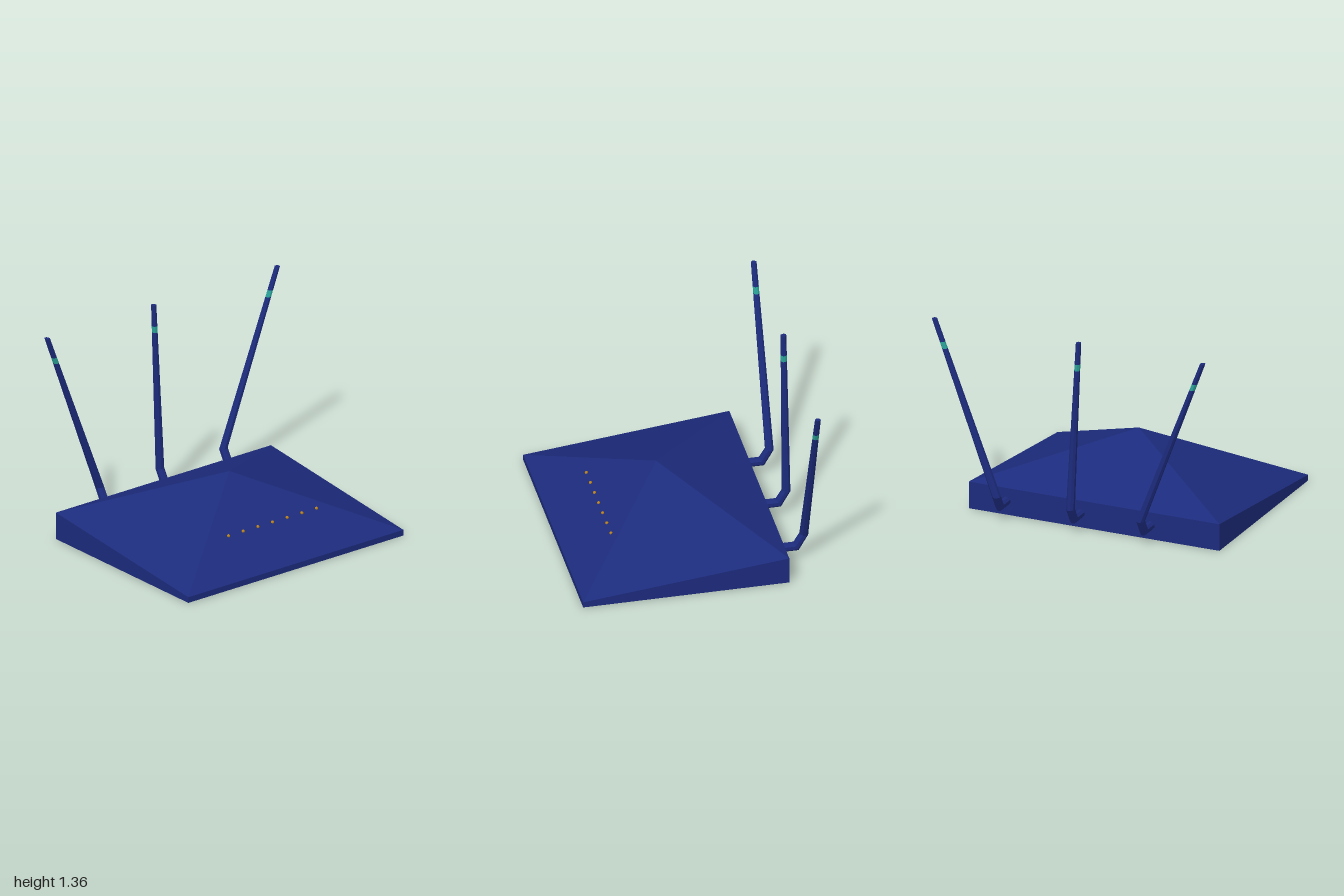
import * as THREE from 'three';
import { ConvexGeometry } from 'three/addons/geometries/ConvexGeometry.js';

const navy = new THREE.MeshStandardMaterial({ color: 0x1c2b7c, flatShading: true });
const teal = new THREE.MeshStandardMaterial({ color: 0x2aa198, flatShading: true });
const amber = new THREE.MeshStandardMaterial({ color: 0xb8801a });
const V = (x, y, z) => new THREE.Vector3(x, y, z);

function part(name, geometry, material) {
  const mesh = new THREE.Mesh(geometry, material);
  mesh.name = name;
  return mesh;
}

// Eight-sided ring: centre, half width along x, and half-height vector
function ring(center, halfX, halfV, sides = 8) {
  const k = 1 / Math.cos(Math.PI / sides);
  return Array.from({ length: sides }, (_, i) => {
    const a = -(i + 0.5) * 2 * Math.PI / sides;
    return center.clone()
      .add(V(halfX * k * Math.cos(a), 0, 0))
      .addScaledVector(halfV, k * Math.sin(a));
  });
}

// Skin a series of rings, optionally closing the far end
function loft(rings, capEnd = false) {
  const pts = [];
  const n = rings[0].length;
  for (let i = 0; i < rings.length - 1; i++) {
    for (let j = 0; j < n; j++) {
      const m = (j + 1) % n;
      const a = rings[i][j], b = rings[i][m], c = rings[i + 1][m], d = rings[i + 1][j];
      pts.push(a, b, c, a, c, d);
    }
  }
  if (capEnd) {
    const last = rings[rings.length - 1];
    for (let j = 1; j < n - 1; j++) pts.push(last[0], last[j], last[j + 1]);
  }
  const geometry = new THREE.BufferGeometry().setFromPoints(pts);
  geometry.computeVertexNormals();
  return geometry;
}

// Bent stub, tapering leaning rod and coloured band near the tip
function antenna(name, baseX, tipX) {
  const group = new THREE.Group();
  group.name = name;
  const low = V(baseX, 0.185, -0.757), tip = V(tipX, 1.36, -0.752);
  const rodRing = (y) => {
    const t = (y - low.y) / (tip.y - low.y);
    return ring(low.clone().lerp(tip, t), 0.027 - 0.011 * t, V(0, 0.005 * (1 - t), 0.027 - 0.009 * t));
  };
  group.add(part('antennaStem', loft([
    ring(V(baseX, 0.097, -0.59), 0.027, V(0, 0.028, 0)),
    ring(V(baseX, 0.097, -0.705), 0.027, V(0, 0.028, 0.015)),
    rodRing(0.185),
    rodRing(1.165),
  ]), navy));
  group.add(part('antennaBand', loft([rodRing(1.165), rodRing(1.21)]), teal));
  group.add(part('antennaTip', loft([rodRing(1.21), rodRing(1.36)], true), navy));
  return group;
}

export function createModel() {
  const model = new THREE.Group();
  model.name = 'router';

  // Wedge-shaped base with a four-sided peaked lid
  const corners = [V(-0.1, 0.47, 0.09)];
  for (const x of [-1, 0.805]) {
    corners.push(V(x, 0, 0.78), V(x, 0.04, 0.78), V(x, 0, -0.6), V(x, 0.187, -0.6));
  }
  model.add(part('body', new ConvexGeometry(corners), navy));

  // Row of status lights on the front slope
  const lights = new THREE.Group();
  lights.name = 'statusLights';
  for (let i = 0; i < 7; i++) {
    const light = part('statusLight', new THREE.SphereGeometry(0.011, 12, 8), amber);
    light.position.set(-0.425 + i * 0.123, 0.226, 0.485);
    lights.add(light);
  }
  model.add(lights);

  // Antennas along the back edge
  model.add(antenna('rightAntenna', -0.505, -0.95));
  model.add(antenna('middleAntenna', 0, -0.056));
  model.add(antenna('leftAntenna', 0.533, 0.981));
  return model;
}
